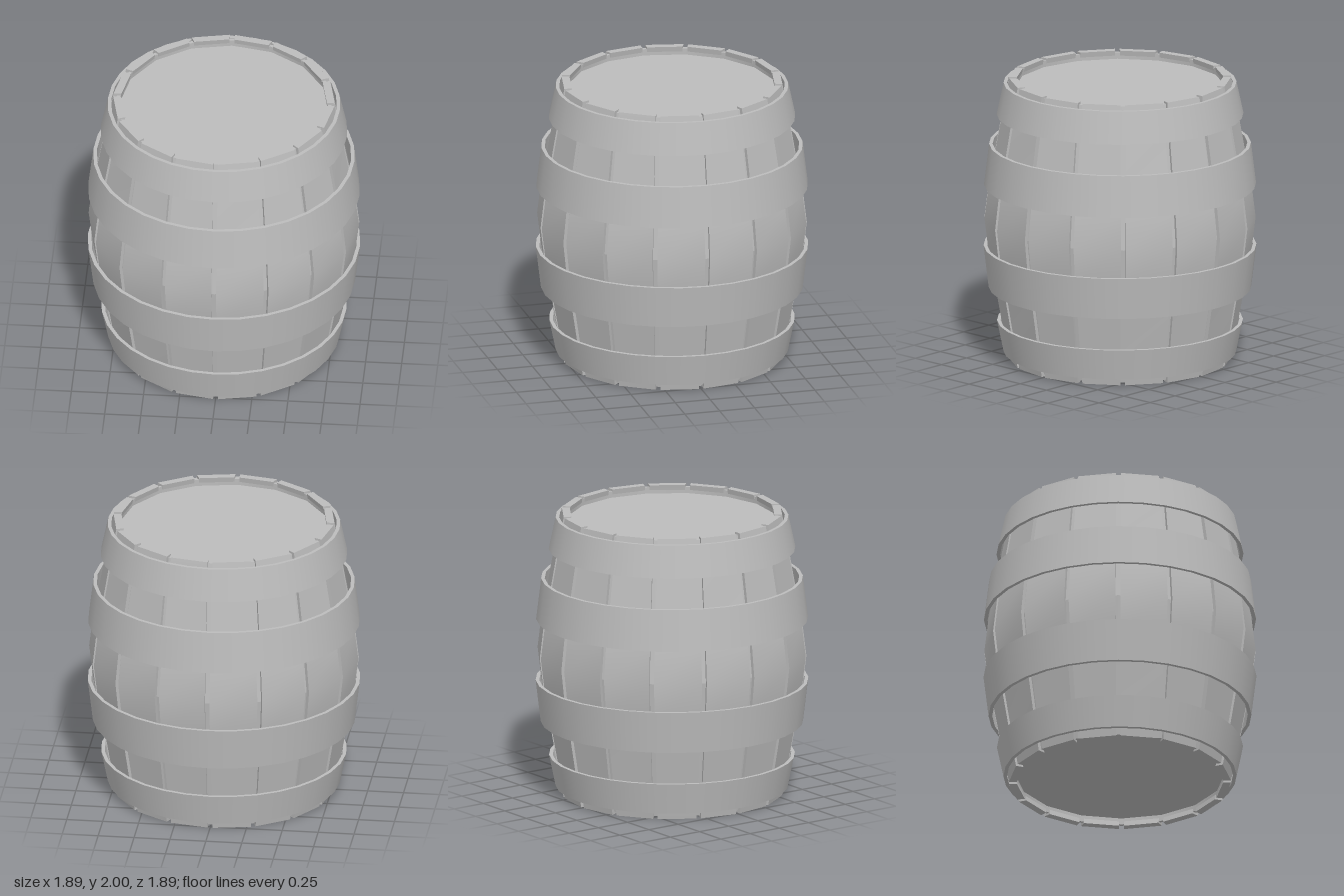
import * as THREE from 'three';
import { mergeGeometries } from 'three/addons/utils/BufferGeometryUtils.js';

const STAVES = 16;
const HALF = Math.PI / STAVES;
const GAP = 0.017; // half the gap between two staves
const THICK = 0.055;

// Bulging outer radius of the staves at height y
const PROFILE = [[0, 0.77], [0.25, 0.818], [0.5, 0.862], [0.75, 0.91], [1, 0.94]];
function radiusAt(y) {
  const h = Math.min(y, 2 - y);
  const i = Math.min(3, Math.floor(h / 0.25));
  return THREE.MathUtils.lerp(PROFILE[i][1], PROFILE[i + 1][1], (h - i * 0.25) / 0.25);
}

// Flat plank, bent vertically and tapered to its share of the circle
function staveGeometry() {
  const g = new THREE.BoxGeometry(1, 2, 1, 1, 8, 1);
  const p = g.attributes.position;
  for (let i = 0; i < p.count; i++) {
    const y = p.getY(i) + 1;
    const r = radiusAt(y) - (p.getZ(i) > 0 ? 0 : THICK);
    const halfWidth = r * Math.sin(HALF) - GAP;
    p.setXYZ(i, Math.sign(p.getX(i)) * halfWidth, y, r * Math.cos(HALF));
  }
  g.computeVertexNormals();
  return g;
}

// Revolved outline with a sharp edge at every point
function sharpLathe(points, segments) {
  const bands = [];
  for (let i = 0; i < points.length - 1; i++) {
    const pair = [points[i], points[i + 1]].map(([r, y]) => new THREE.Vector2(r, y));
    bands.push(new THREE.LatheGeometry(pair, segments));
  }
  return mergeGeometries(bands);
}

function hoopGeometry(y0, r0, y1, r1) {
  const t = 0.025;
  return sharpLathe([[r0, y0], [r1, y1], [r1 - t, y1], [r0 - t, y0], [r0, y0]], 32);
}

export function createModel() {
  const group = new THREE.Group();
  const grey = new THREE.MeshStandardMaterial({ color: 0xbcbcbc });
  grey.name = 'barrelGrey';
  const add = (name, geometry) => {
    const mesh = new THREE.Mesh(geometry, grey);
    mesh.name = name;
    group.add(mesh);
    return mesh;
  };

  // Ring of staves
  const stave = staveGeometry();
  for (let i = 0; i < STAVES; i++) {
    add('stave', stave).rotation.y = (2 * i + 1) * HALF;
  }

  // Backing behind the gaps
  const backing = [];
  for (let i = 0; i <= 8; i++) {
    const y = 0.015 + (1.97 * i) / 8;
    backing.push([radiusAt(y) - 0.027, y]);
  }
  backing.push([0.722, 1.985], [0.722, 1.94]);
  backing.unshift([0.722, 0.06], [0.722, 0.015]);
  add('backing', sharpLathe(backing, STAVES));

  // Recessed lid and base
  for (const [name, y] of [['lid', 1.93], ['base', 0.07]]) {
    add(name, new THREE.CylinderGeometry(0.735, 0.735, 0.02, STAVES)).position.y = y;
  }

  // Hoops
  add('bottomHoop', hoopGeometry(0.05, 0.805, 0.27, 0.85));
  add('lowerHoop', hoopGeometry(0.51, 0.908, 0.805, 0.943));
  add('upperHoop', hoopGeometry(1.24, 0.94, 1.53, 0.905));
  add('topHoop', hoopGeometry(1.74, 0.853, 1.965, 0.805));

  return group;
}
